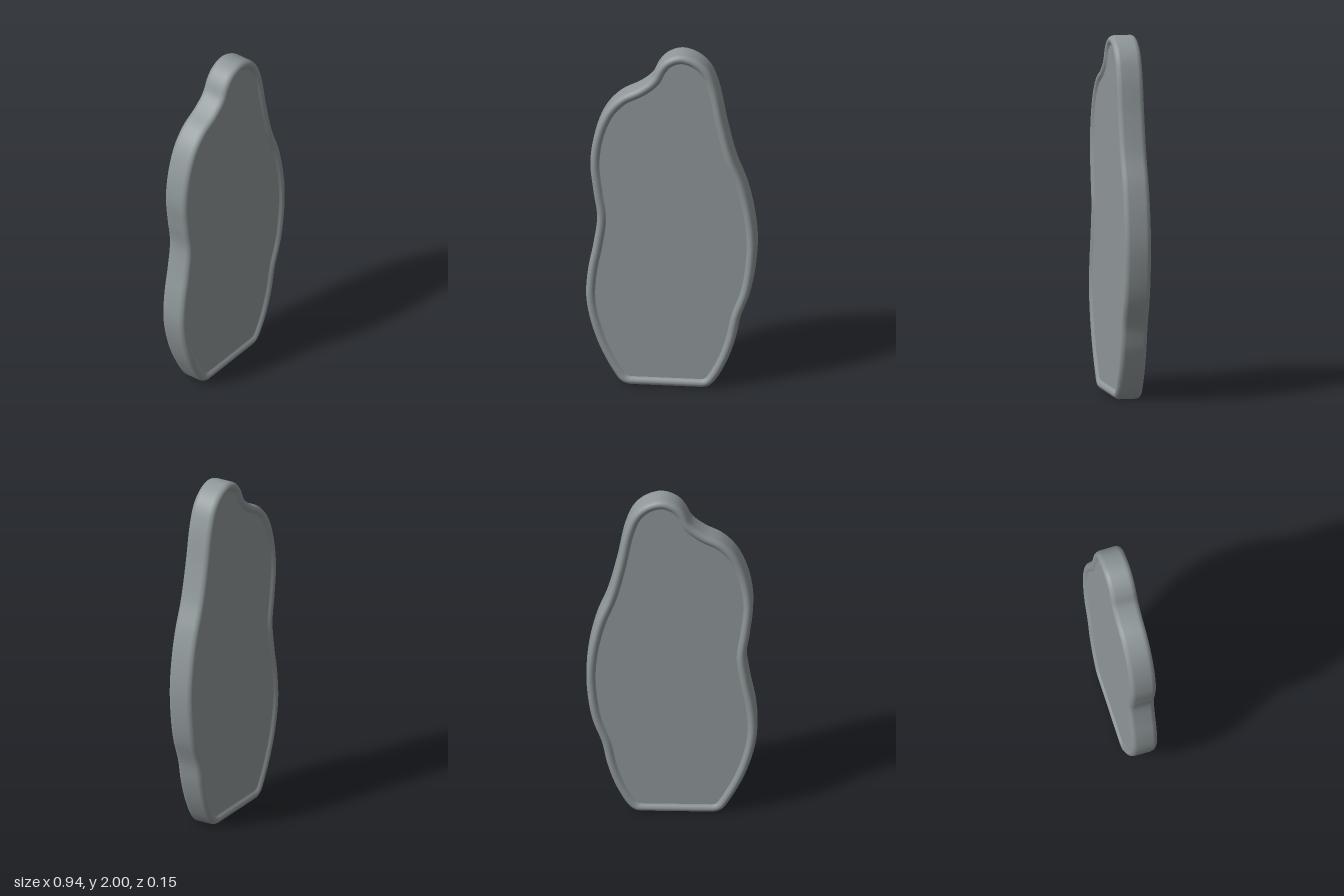
import * as THREE from 'three';

// Outline of the slab, counter-clockwise from the bottom right corner
const OUTLINE = [
  [0.15, 0], [0.195, 0.005], [0.23, 0.03], [0.30, 0.15], [0.35, 0.29], [0.38, 0.43], [0.43, 0.57],
  [0.455, 0.70], [0.467, 0.88], [0.45, 1.05], [0.41, 1.22], [0.35, 1.38], [0.30, 1.58],
  [0.255, 1.80], [0.21, 1.91], [0.14, 1.975], [0.05, 2.0], [-0.03, 1.97], [-0.075, 1.92],
  [-0.11, 1.85], [-0.18, 1.79], [-0.28, 1.735], [-0.36, 1.65], [-0.42, 1.51], [-0.447, 1.33],
  [-0.43, 1.15], [-0.41, 1.0], [-0.43, 0.84], [-0.46, 0.68], [-0.47, 0.52], [-0.445, 0.37],
  [-0.39, 0.21], [-0.31, 0.06], [-0.28, 0.02], [-0.245, 0.003], [-0.2, 0],
];
const HALF = 0.074;    // half thickness
const RECESS = 0.06;   // z of the sunken faces
const RIM = 0.052;     // width of the raised rim

// Half of the rim's cross-section: [distance inward, z], from outer wall to panel
const HALF_PROFILE = [
  [0, 0.045], [0.003, 0.057], [0.009, 0.067], [0.018, HALF - 0.001], [0.026, HALF],
  [0.034, HALF - 0.002], [0.041, 0.068], [0.046, 0.063], [RIM, RECESS],
];

export function createModel() {
  const group = new THREE.Group();
  const stone = new THREE.MeshStandardMaterial({ color: 0x8f9799 });
  stone.name = 'grey stone';

  const N = 220;
  const curve = new THREE.CatmullRomCurve3(
    OUTLINE.map(([x, y]) => new THREE.Vector3(x, y, 0)), true, 'centripetal');
  const points = curve.getSpacedPoints(N).slice(0, N);

  // Inward offset of the outline, averaged over neighbours for soft corners
  const inset = (i, d) => {
    const a = points[(i + N - 2) % N], b = points[(i + 2) % N];
    const t = b.clone().sub(a).normalize();
    return new THREE.Vector2(points[i].x - t.y * d, Math.max(0, points[i].y) + t.x * d);
  };

  // Rounded rim, swept from the back panel round the wall to the front panel
  const profile = [...HALF_PROFILE.map(([d, z]) => [d, -z]).reverse(), ...HALF_PROFILE];
  const pos = [], index = [];
  profile.forEach(([d, z], j) => {
    for (let i = 0; i < N; i++) {
      const p = inset(i, d);
      pos.push(p.x, p.y, z);
      if (j === 0) continue;
      const k = (i + 1) % N, lo = (j - 1) * N, hi = j * N;
      index.push(lo + i, lo + k, hi + k, lo + i, hi + k, hi + i);
    }
  });
  const rimGeometry = new THREE.BufferGeometry();
  rimGeometry.setAttribute('position', new THREE.Float32BufferAttribute(pos, 3));
  rimGeometry.setIndex(index);
  rimGeometry.computeVertexNormals();
  const rim = new THREE.Mesh(rimGeometry, stone);
  rim.name = 'rim';
  group.add(rim);

  // Flat sunken panels on the front and back
  const shape = new THREE.Shape(points.map((_, i) => inset(i, RIM)));
  const front = new THREE.Mesh(new THREE.ShapeGeometry(shape), stone);
  front.name = 'frontPanel';
  front.position.z = RECESS;
  const mirrored = new THREE.Shape(points.map((_, i) => {
    const p = inset(i, RIM);
    return new THREE.Vector2(-p.x, p.y);
  }));
  const back = new THREE.Mesh(new THREE.ShapeGeometry(mirrored), stone);
  back.name = 'backPanel';
  back.rotation.y = Math.PI;
  back.position.z = -RECESS;
  group.add(front, back);

  return group;
}
